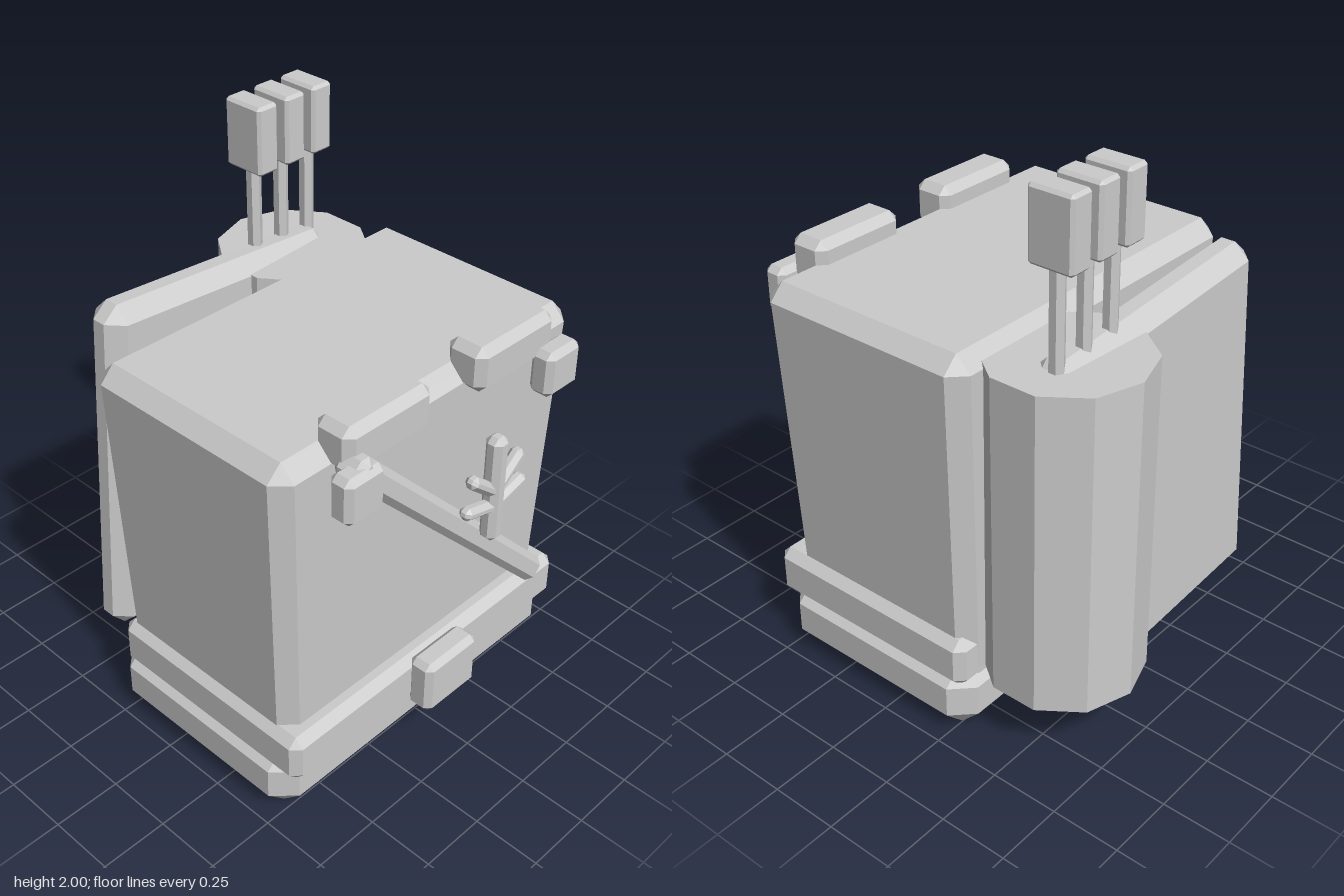
import * as THREE from 'three';
import { ConvexGeometry } from 'three/addons/geometries/ConvexGeometry.js';

const material = new THREE.MeshStandardMaterial({ color: 0xcccccc, flatShading: true });

// Box with every edge chamfered by c
function chamferBox(w, h, d, c) {
  const points = [];
  for (const sx of [-1, 1]) for (const sy of [-1, 1]) for (const sz of [-1, 1]) {
    const x = w / 2, y = h / 2, z = d / 2;
    points.push(
      new THREE.Vector3(sx * x, sy * (y - c), sz * (z - c)),
      new THREE.Vector3(sx * (x - c), sy * y, sz * (z - c)),
      new THREE.Vector3(sx * (x - c), sy * (y - c), sz * z));
  }
  return new ConvexGeometry(points);
}

export function createModel() {
  const model = new THREE.Group();
  model.name = 'backpack';

  const add = (name, geometry, x, y, z, tilt = 0) => {
    const mesh = new THREE.Mesh(geometry, material);
    mesh.name = name;
    mesh.position.set(x, y, z);
    mesh.rotation.z = tilt;
    model.add(mesh);
    return mesh;
  };
  // Chamfered box given by its limits on each axis
  const block = (name, [x0, x1], [y0, y1], [z0, z1], c) =>
    add(name, chamferBox(x1 - x0, y1 - y0, z1 - z0, c), (x0 + x1) / 2, (y0 + y1) / 2, (z0 + z1) / 2);
  // Chamfered bar between two points in the xy plane
  const bar = (name, [x0, y0], [x1, y1], z, width, depth, c) =>
    add(name, chamferBox(Math.hypot(x1 - x0, y1 - y0), width, depth, c),
      (x0 + x1) / 2, (y0 + y1) / 2, z, Math.atan2(y1 - y0, x1 - x0));

  // Main bag, narrowing towards the bottom
  const body = block('body', [-0.702, 0.69], [0.12, 1.45], [-0.325, 0.54], 0.057);
  const pos = body.geometry.attributes.position;
  for (let i = 0; i < pos.count; i++) {
    const f = 1 - 0.056 * (0.61 - pos.getY(i));
    pos.setX(i, pos.getX(i) * f);
    pos.setZ(i, pos.getZ(i) * f);
  }
  body.geometry.computeVertexNormals();

  // Base, belt and buckle
  block('base', [-0.711, 0.702], [0, 0.265], [-0.322, 0.54], 0.075);
  block('belt', [-0.692, 0.684], [0.19, 0.377], [-0.297, 0.58], 0.033);
  block('buckle', [-0.132, 0.126], [0.175, 0.39], [0.565, 0.667], 0.022);

  // Paired shoulder pads and clips on the upper front edge
  for (const s of [-1, 1]) {
    const px = s * 0.3 - 0.003, cx = s * 0.473 - 0.005;
    block('shoulderPad', [px - 0.19, px + 0.19], [1.365, 1.53], [0.455, 0.61], 0.03);
    block('clip', [cx - 0.083, cx + 0.083], [1.25, 1.42], [0.585, 0.677], 0.022);
  }

  // Diagonal strap across the front
  bar('diagonalStrap', [-0.488, 1.423], [0.47, 0.457], 0.605, 0.097, 0.112, 0.024);

  // Sprig ornament: stem with two pairs of twigs
  block('sprigStem', [0.028, 0.094], [0.9, 1.305], [0.692, 0.758], 0.02);
  for (const s of [-1, 1]) {
    const cx = 0.061;
    bar('upperTwig', [cx, 1.09], [cx + s * 0.125, 1.193], 0.725, 0.046, 0.05, 0.016);
    bar('lowerTwig', [cx, 1.035], [cx + s * 0.15, 1.075], 0.725, 0.046, 0.05, 0.016);
  }

  // Slightly tilted slab on the back
  add('backSlab', chamferBox(1.035, 1.34, 0.165, 0.056), -0.045, 0.8, -0.5, -0.068);

  // Ten-sided quiver with one corner facing straight back
  add('quiver', new THREE.CylinderGeometry(0.279, 0.279, 1.18, 10), 0.36, 0.82, -0.476);

  // Three shafts with block-shaped ends standing in the quiver
  for (const x of [0.212, 0.342, 0.471]) {
    add('shaft', new THREE.CylinderGeometry(0.027, 0.027, 0.5, 6), x, 1.53, -0.518);
    block('shaftEnd', [x - 0.046, x + 0.046], [1.75, 2], [-0.605, -0.436], 0.011);
  }

  return model;
}
